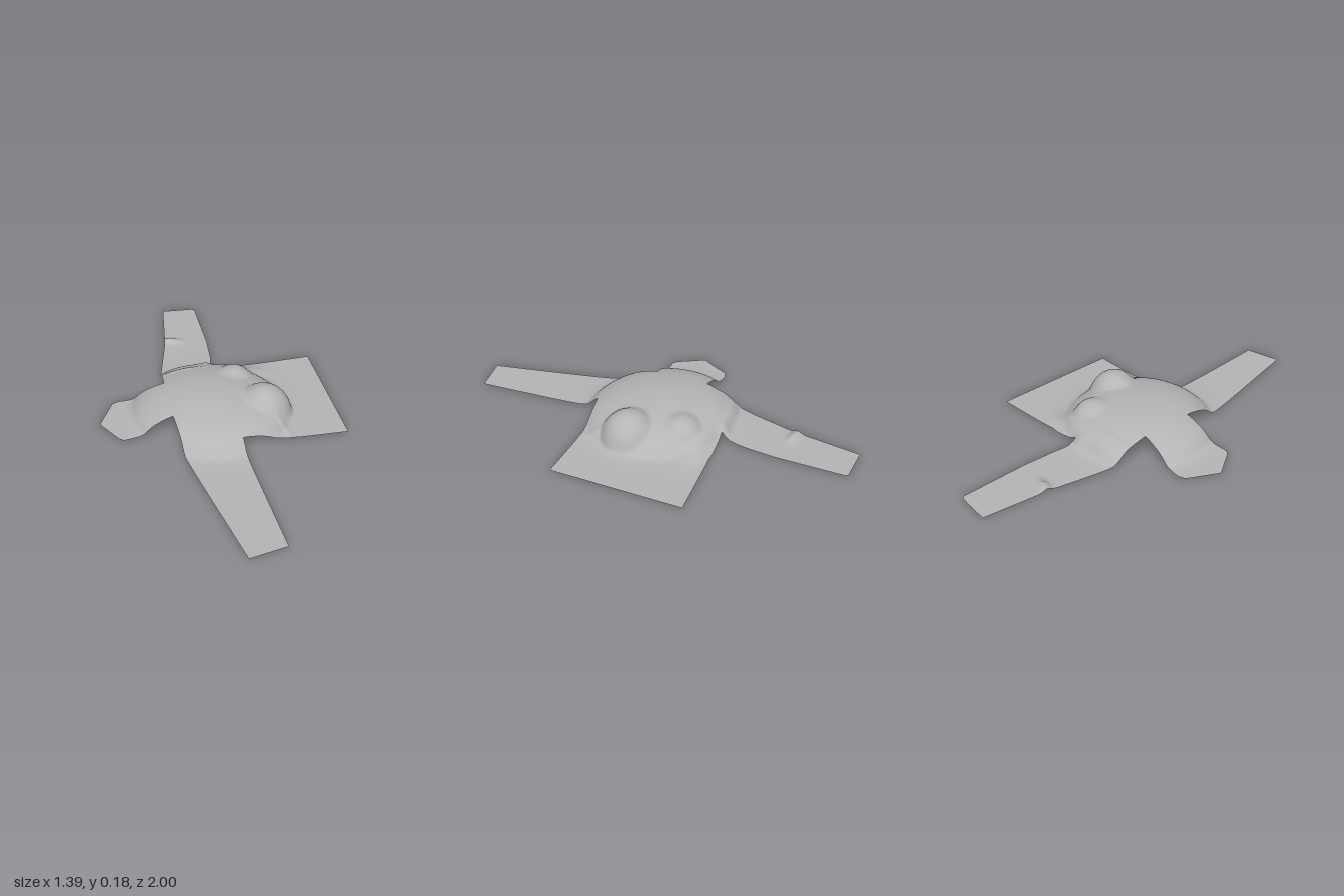
import * as THREE from 'three';

// Soft-edged ellipsoid cap: centre, radii, height
function cap(x, z, [cx, cz, rx, rz, h]) {
  const u = 1 - ((x - cx) / rx) ** 2 - ((z - cz) / rz) ** 2;
  return h * Math.sqrt((u + Math.sqrt(u * u + 0.006)) / 2);
}

// Soft elongated crease: centre, direction angle, half length, half width, height
function crease(x, z, [cx, cz, angle, length, width, h]) {
  const c = Math.cos(angle), s = Math.sin(angle);
  const a = ((x - cx) * c + (z - cz) * s) / length;
  const b = ((z - cz) * c - (x - cx) * s) / width;
  return h * Math.exp(-a * a - b * b);
}

const caps = [
  [-0.08, 0.0, 0.44, 0.4, 0.15],        // main dome
  [0.205, -0.08, 0.155, 0.15, 0.18],    // side lump
  [-0.02, -0.25, 0.13, 0.12, 0.148],    // back lump
];
const creases = [
  [-0.53, -0.6, -0.25, 0.06, 0.025, 0.024],   // fold across the long strip
  [-0.23, -0.37, -0.6, 0.05, 0.03, 0.02],     // pinched corner
  [-0.33, -0.2, -0.55, 0.13, 0.018, 0.008],   // shoulder pleats
  [-0.36, -0.27, -0.55, 0.13, 0.02, 0.01],
  [-0.02, -0.4, -0.3, 0.12, 0.05, 0.025],     // skirt behind the back lump
  [0.33, 0.03, 0.6, 0.08, 0.02, 0.008],       // wrinkle by the side lump
];

// Height of the draped cloth
function height(x, z) {
  const drape = caps.reduce((sum, c) => sum + cap(x, z, c) ** 10, 0) ** 0.1;
  return 0.004 + drape + creases.reduce((sum, c) => sum + crease(x, z, c), 0);
}

// Polyline through [x, z] points, sampled by length
function rail(points) {
  const path = new THREE.CurvePath();
  const v = points.map(([x, z]) => new THREE.Vector2(x, z));
  for (let i = 1; i < v.length; i++) path.add(new THREE.LineCurve(v[i - 1], v[i]));
  return path;
}

// Cloth panel ruled between two rails and lifted to the drape height
function panel(name, pointsA, pointsB, material, n = 64) {
  const railA = rail(pointsA), railB = rail(pointsB);
  const position = [], normal = [], index = [], e = 0.004;
  for (let i = 0; i <= n; i++) {
    const a = railA.getPoint(i / n), b = railB.getPoint(i / n);
    for (let j = 0; j <= n; j++) {
      const p = a.clone().lerp(b, j / n), x = p.x, z = p.y;
      position.push(x, height(x, z), z);
      const up = new THREE.Vector3(
        height(x - e, z) - height(x + e, z), 2 * e,
        height(x, z - e) - height(x, z + e)).normalize();
      normal.push(up.x, up.y, up.z);
    }
  }
  // Wind the faces so that they look upwards
  const a0 = railA.getPoint(0), a1 = railA.getPoint(1), b0 = railB.getPoint(0);
  const flip = (a1.x - a0.x) * (b0.y - a0.y) - (a1.y - a0.y) * (b0.x - a0.x) > 0;
  for (let i = 0; i < n; i++) {
    for (let j = 0; j < n; j++) {
      const p = i * (n + 1) + j, q = p + 1, r = p + n + 1, s = r + 1;
      if (flip) index.push(p, q, r, q, s, r);
      else index.push(p, r, q, q, r, s);
    }
  }
  const geometry = new THREE.BufferGeometry();
  geometry.setAttribute('position', new THREE.Float32BufferAttribute(position, 3));
  geometry.setAttribute('normal', new THREE.Float32BufferAttribute(normal, 3));
  geometry.setIndex(index);
  const mesh = new THREE.Mesh(geometry, material);
  mesh.name = name;
  return mesh;
}

export function createModel() {
  const group = new THREE.Group();
  group.name = 'drapedCloth';
  const cloth = new THREE.MeshStandardMaterial({ color: 0xb5b5b5, side: THREE.DoubleSide });
  cloth.name = 'greyCloth';

  // Inner corners where the cloth is cut between its flaps
  const back = [-0.2, -0.38], right = [0.18, 0.25], front = [-0.22, 0.23], left = [-0.37, -0.04];

  group.add(
    panel('centrePanel', [back, right], [left, front], cloth),
    panel('wideFlap',
      [back, [-0.07, -0.46], [-0.03, -0.475], [0.32, -0.69]],
      [right, [0.37, 0.12], [0.69, -0.05]], cloth),
    panel('frontStrip',
      [front, [-0.15, 0.33], [-0.09, 0.42], [0.42, 1.0]],
      [right, [0.58, 0.87]], cloth),
    panel('shortFlap',
      [front, [-0.45, 0.38], [-0.48, 0.375], [-0.63, 0.29]],
      [left, [-0.61, 0.07], [-0.635, 0.1]], cloth),
    panel('backStrip',
      [back, [-0.24, -0.5], [-0.32, -0.67], [-0.51, -1.0], [-0.53, -1.0]],
      [left, [-0.46, -0.22], [-0.56, -0.57], [-0.7, -0.92]], cloth),
  );
  return group;
}
